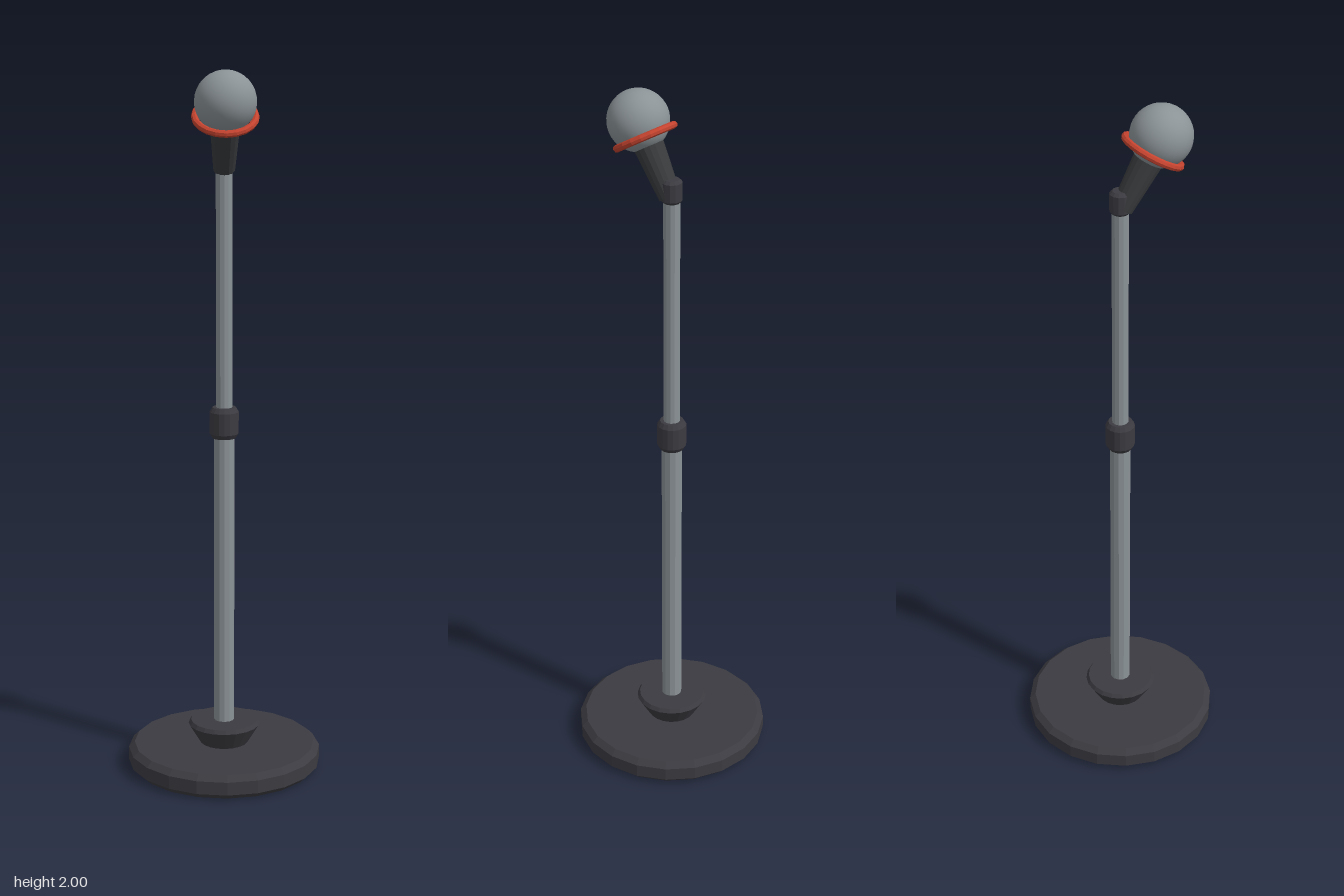
import * as THREE from 'three';

const mat = (name, color, flatShading = true) => {
  const m = new THREE.MeshStandardMaterial({ color, flatShading });
  m.name = name;
  return m;
};

export function createModel() {
  const black = mat('blackMetal', 0x3c3b41);
  const handleGrey = mat('handleCharcoal', 0x393b3d);
  const steel = mat('steel', 0x8b9397);
  const grille = mat('grilleGrey', 0x8b9397, false);
  const red = mat('redBand', 0xc4432f);

  const model = new THREE.Group();
  const add = (parent, name, geometry, material) => {
    const mesh = new THREE.Mesh(geometry, material);
    mesh.name = name;
    parent.add(mesh);
    return mesh;
  };
  // Turned solid, profile given bottom to top as [radius, y]
  const turned = (profile, sides) =>
    new THREE.LatheGeometry(profile.map(([r, y]) => new THREE.Vector2(r, y)), sides);

  // Weighted base and its flared collar
  add(model, 'base', turned(
    [[0, 0], [0.26, 0], [0.277, 0.016], [0.277, 0.054], [0.26, 0.07], [0, 0.07]], 20), black);
  add(model, 'collar', turned(
    [[0.068, 0.068], [0.103, 0.126], [0.096, 0.137], [0, 0.137]], 20), black);

  // Telescopic pole with its clutch
  add(model, 'lowerPole', turned([[0.029, 0.13], [0.029, 0.99]], 12), steel);
  add(model, 'clutch', turned(
    [[0, 0.975], [0.033, 0.975], [0.041, 0.988], [0.041, 1.05], [0.033, 1.063], [0, 1.063]], 16), black);
  add(model, 'upperPole', turned([[0.023, 1.05], [0.023, 1.73]], 12), steel);
  add(model, 'pivot', turned(
    [[0, 1.715], [0.023, 1.715], [0.029, 1.722], [0.029, 1.772], [0.021, 1.78], [0, 1.78]], 12), black);

  // Microphone, tilted forward about the centre of its head
  const microphone = new THREE.Group();
  microphone.name = 'microphone';
  microphone.position.set(0, 1.916, 0.114);
  microphone.rotation.x = Math.PI / 6;
  model.add(microphone);

  add(microphone, 'head', new THREE.SphereGeometry(0.084, 32, 20), grille);
  add(microphone, 'handle', turned(
    [[0, -0.217], [0.03, -0.217], [0.042, -0.06], [0, -0.06]], 16), handleGrey);
  const band = add(microphone, 'band', new THREE.TorusGeometry(0.082, 0.01, 8, 20), red);
  band.rotation.x = Math.PI / 2;
  band.position.y = -0.047;

  return model;
}
